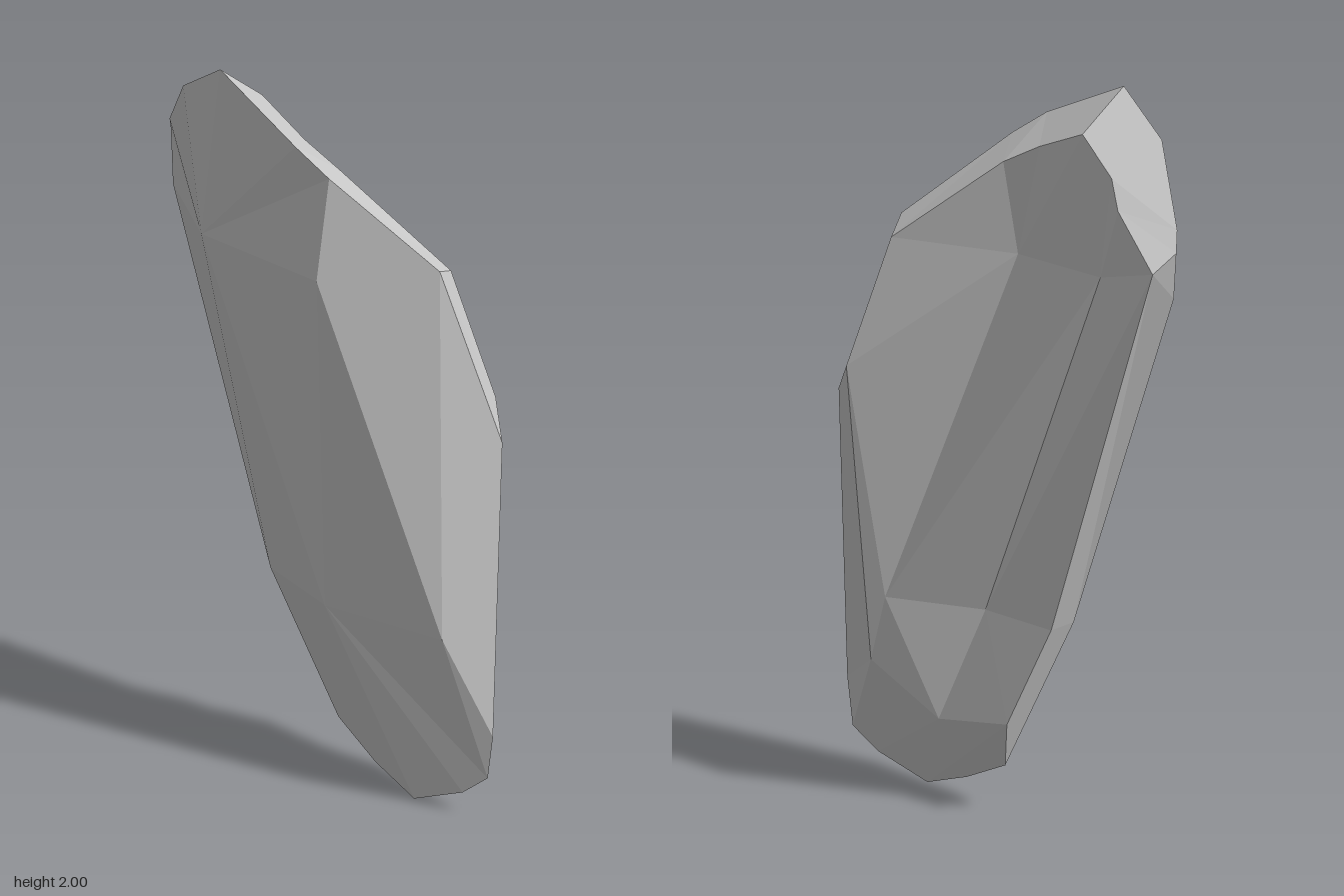
import * as THREE from 'three';

// Front outline, clockwise from the peak: [x, y, z, index of the back rim corner it joins]
const outer = [
  [-0.28, 2.0, 0.09, 0], [-0.02, 1.87, 0.18, 1], [0.08, 1.8, 0.185, 2], [0.37, 1.56, 0.12, 3],
  [0.53, 1.07, 0.075, 4], [0.545, 0.25, 0.165, 5], [0.525, 0.12, 0.155, 5], [0.45, 0.06, 0.15, 6],
  [0.3, 0, 0.13, 6], [0.16, 0.05, 0.07, 7], [0.02, 0.12, 0, 7], [-0.165, 0.53, 0.025, 8],
  [-0.52, 1.51, -0.13, 9], [-0.545, 1.65, -0.17, 9], [-0.53, 1.7, -0.13, 10], [-0.42, 1.89, 0.02, 11],
];
// Inner corners of the bulging front: upper pair (16, 17), lower pair (18, 19)
const front = [...outer, [-0.33, 1.51, 0.1], [0.06, 1.51, 0.22], [0.055, 0.53, 0.16], [0.42, 0.53, 0.212]];

// Back rim, clockwise from the peak, then the inner corners of the hollow (12 to 15)
const back = [
  [-0.21, 1.89, -0.02], [-0.06, 1.82, 0.04], [0.05, 1.76, 0.055], [0.36, 1.52, 0.03],
  [0.475, 1.16, 0], [0.42, 0.35, 0.035], [0.215, 0.22, 0.01], [-0.02, 0.26, -0.08],
  [-0.14, 0.53, -0.065], [-0.5, 1.6, -0.222], [-0.36, 1.73, -0.13], [-0.32, 1.8, -0.08],
  [-0.27, 1.51, -0.04], [0.01, 1.51, 0.06], [0.09, 0.53, 0.03], [0.375, 0.53, 0.025],
];

// Facets as fans of corner indices
const frontFacets = [
  [16, 15, 0, 1, 2, 17], [17, 2, 3], [17, 3, 19], [19, 3, 4, 5, 6],
  [16, 17, 18], [17, 19, 18], [18, 19, 6], [18, 6, 7, 8, 9], [18, 9, 10, 11],
  [16, 18, 11], [16, 11, 12, 13, 14, 15],
];
const backFacets = [
  [12, 9, 10, 11, 0], [12, 0, 13], [13, 0, 1, 2, 3, 4], [13, 4, 15], [15, 4, 5],
  [12, 13, 15], [12, 15, 14], [12, 14, 9], [9, 14, 8],
  [14, 15, 6], [15, 5, 6], [14, 6, 7], [14, 7, 8],
];

// Split fans into triangles wound to face +z (side 1) or -z (side -1)
function fanTriangles(points, facets, side) {
  const tris = [];
  for (const f of facets) {
    for (let i = 1; i < f.length - 1; i++) {
      const [a, b, c] = [points[f[0]], points[f[i]], points[f[i + 1]]];
      const area = (b[0] - a[0]) * (c[1] - a[1]) - (b[1] - a[1]) * (c[0] - a[0]);
      tris.push(area * side > 0 ? [a, b, c] : [a, c, b]);
    }
  }
  return tris;
}

// Bridge the front outline to the back rim
function rimTriangles() {
  const tris = [];
  outer.forEach((a, i) => {
    const b = outer[(i + 1) % outer.length];
    tris.push([a, b, back[b[3]]]);
    if (a[3] !== b[3]) tris.push([a, back[b[3]], back[a[3]]]);
  });
  return tris;
}

function facetMesh(name, tris, material) {
  const positions = tris.flat().flatMap(([x, y, z]) => [x, y, z]);
  const geometry = new THREE.BufferGeometry();
  geometry.setAttribute('position', new THREE.Float32BufferAttribute(positions, 3));
  geometry.computeVertexNormals();
  const mesh = new THREE.Mesh(geometry, material);
  mesh.name = name;
  return mesh;
}

export function createModel() {
  const group = new THREE.Group();
  group.name = 'curvedShard';
  const material = new THREE.MeshStandardMaterial({ color: 0xcccccc, flatShading: true });
  group.add(
    facetMesh('frontFace', fanTriangles(front, frontFacets, 1), material),
    facetMesh('backHollow', fanTriangles(back, backFacets, -1), material),
    facetMesh('rim', rimTriangles(), material),
  );
  return group;
}
